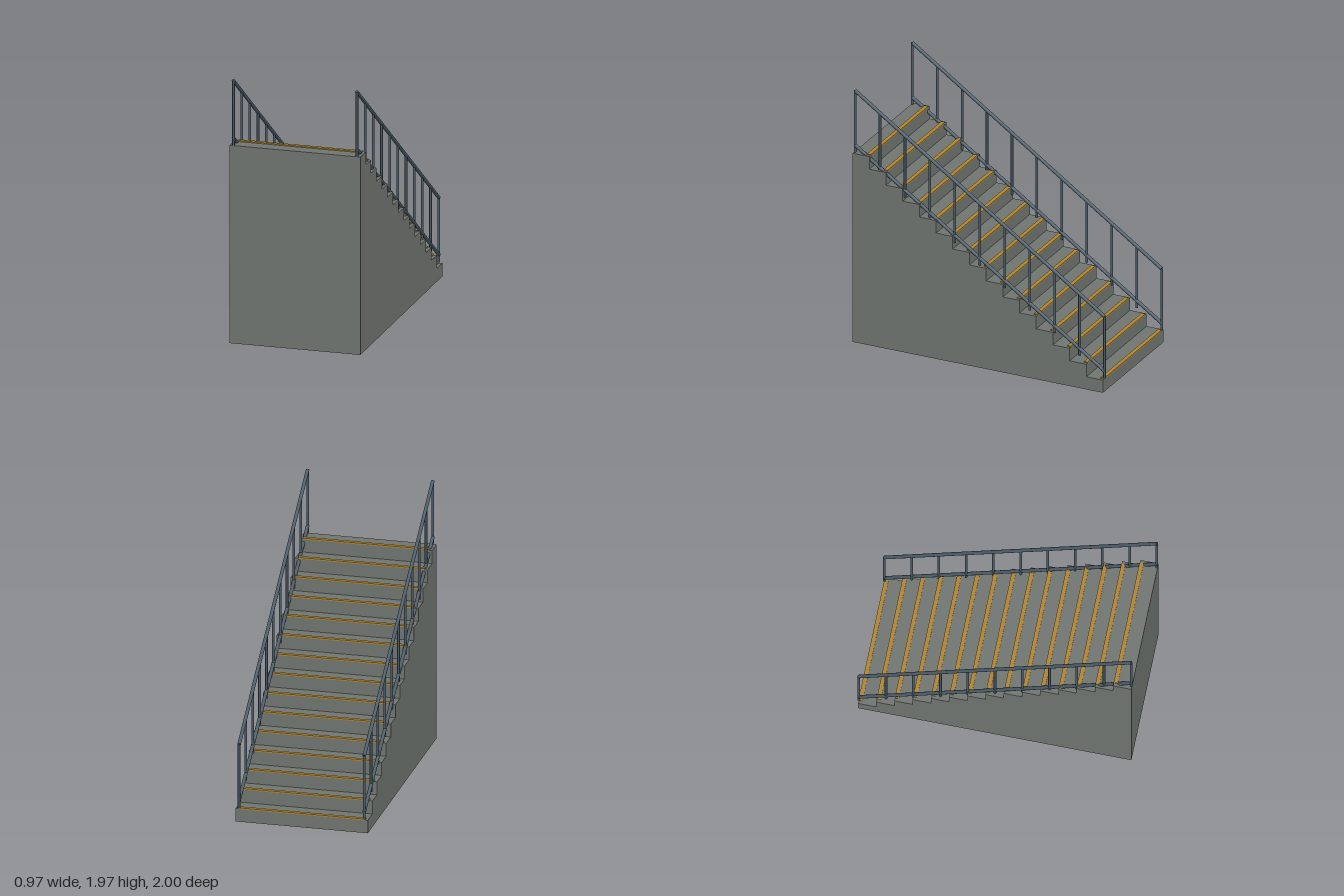
import * as THREE from 'three';

const STEPS = 15, RISE = 0.0983, RUN = 0.1325, BACK = -0.991;
const WIDTH = 0.974, RAIL_X = 0.46, POSTS = 11, END = 0.99, SLOPE = 0.692;

export function createModel() {
  const model = new THREE.Group();
  model.name = 'staircase';
  const concrete = new THREE.MeshStandardMaterial({ color: 0x707570 });
  const brass = new THREE.MeshStandardMaterial({ color: 0xb08430 });
  const steel = new THREE.MeshStandardMaterial({ color: 0x4a5a66 });

  const add = (parent, name, geometry, material, x, y, z) => {
    const mesh = new THREE.Mesh(geometry, material);
    mesh.name = name;
    mesh.position.set(x, y, z);
    parent.add(mesh);
    return mesh;
  };

  // Solid steps climbing towards +z, each with a nosing strip on its edge
  const steps = new THREE.Group();
  steps.name = 'steps';
  model.add(steps);
  for (let i = 0; i < STEPS; i++) {
    const h = RISE * (i + 1), z = BACK + RUN * i;
    add(steps, 'step', new THREE.BoxGeometry(WIDTH, h, RUN), concrete, 0, h / 2, z + RUN / 2);
    add(steps, 'nosingStrip', new THREE.BoxGeometry(0.93, 0.01, 0.03), brass, 0, h + 0.003, z + 0.014);
  }

  // One railing per side: sloping top and bottom rails joined by posts
  const railLength = 2 * END * Math.hypot(1, SLOPE);
  const railGeometry = new THREE.CylinderGeometry(0.013, 0.013, railLength, 12);
  const postGeometry = new THREE.CylinderGeometry(0.0095, 0.0095, 0.481, 10);
  for (const side of [-1, 1]) {
    const railing = new THREE.Group();
    railing.name = side > 0 ? 'leftRailing' : 'rightRailing';
    railing.position.x = side * RAIL_X;
    model.add(railing);
    for (const [name, y] of [['handrail', 1.271], ['bottomRail', 0.845]]) {
      const rail = add(railing, name, railGeometry, steel, 0, y, 0);
      rail.rotation.x = Math.atan2(1, SLOPE);
    }
    for (let i = 0; i < POSTS; i++) {
      const z = -END + (2 * END * i) / (POSTS - 1);
      add(railing, 'post', postGeometry, steel, 0, 1.0305 + SLOPE * z, z);
    }
  }
  return model;
}
